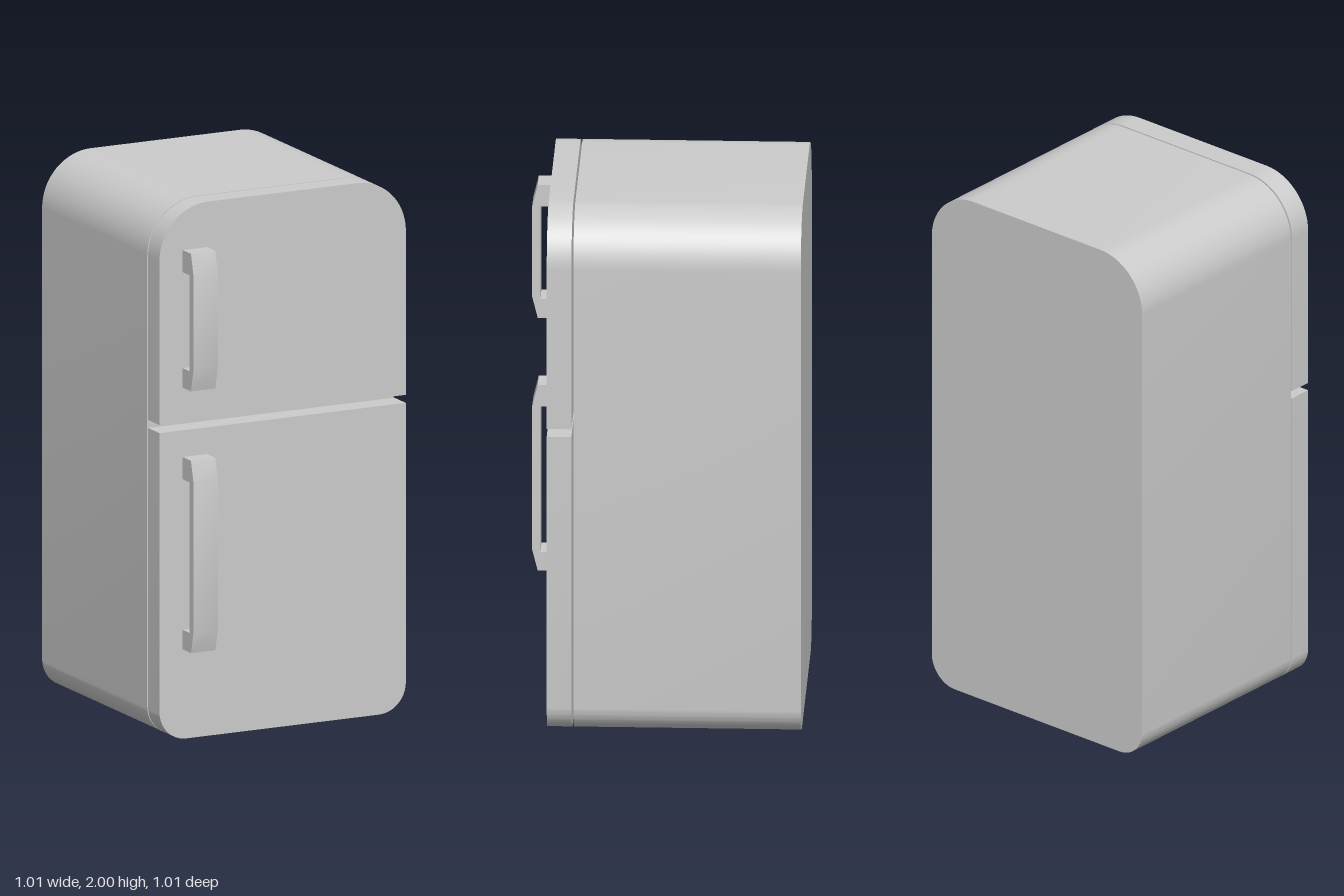
import * as THREE from 'three';
import { toCreasedNormals } from 'three/addons/utils/BufferGeometryUtils.js';

const HALF_W = 0.505;

// Front outline with separate corner radii at the bottom and the top
function panelShape(y0, y1, rBottom, rTop) {
  const s = new THREE.Shape();
  const w = HALF_W;
  s.moveTo(-w + rBottom, y0);
  s.lineTo(w - rBottom, y0);
  if (rBottom) s.absarc(w - rBottom, y0 + rBottom, rBottom, -Math.PI / 2, 0);
  s.lineTo(w, y1 - rTop);
  if (rTop) s.absarc(w - rTop, y1 - rTop, rTop, 0, Math.PI / 2);
  s.lineTo(-w + rTop, y1);
  if (rTop) s.absarc(-w + rTop, y1 - rTop, rTop, Math.PI / 2, Math.PI);
  s.lineTo(-w, y0 + rBottom);
  if (rBottom) s.absarc(-w + rBottom, y0 + rBottom, rBottom, Math.PI, Math.PI * 1.5);
  return s;
}

export function createModel() {
  const group = new THREE.Group();
  const material = new THREE.MeshStandardMaterial({ color: 0xcccccc });

  function add(name, geometry) {
    const mesh = new THREE.Mesh(toCreasedNormals(geometry, 0.5), material);
    mesh.name = name;
    group.add(mesh);
  }

  function addPanel(name, shape, zBack, zFront) {
    const g = new THREE.ExtrudeGeometry(shape, {
      depth: zFront - zBack, bevelEnabled: false, curveSegments: 12,
    });
    add(name, g.translate(0, 0, zBack));
  }

  // Bracket handle: side profile (z, y) extruded across x
  function addHandle(name, y0, y1) {
    const door = 0.42, grip = 0.475, front = 0.505;
    const profile = new THREE.Shape([
      [door, y0], [0.485, y0], [front, y0 + 0.08],
      [front, y1 - 0.08], [0.485, y1], [door, y1],
      [door, y1 - 0.083], [grip, y1 - 0.083],
      [grip, y0 + 0.073], [door, y0 + 0.073],
    ].map(([z, y]) => new THREE.Vector2(z, y)));
    const g = new THREE.ExtrudeGeometry(profile, { depth: 0.1, bevelEnabled: false });
    add(name, g.rotateY(-Math.PI / 2).translate(-0.31, 0, 0));
  }

  // Cabinet, with the two doors set just in front of it
  addPanel('cabinet', panelShape(0, 2, 0.11, 0.2), -0.505, 0.323);
  addPanel('freezerDoor', panelShape(1.185, 2, 0, 0.2), 0.33, 0.42);
  addPanel('fridgeDoor', panelShape(0, 1.155, 0.11, 0), 0.33, 0.42);

  addHandle('freezerHandle', 1.315, 1.83);
  addHandle('fridgeHandle', 0.335, 1.055);

  return group;
}
